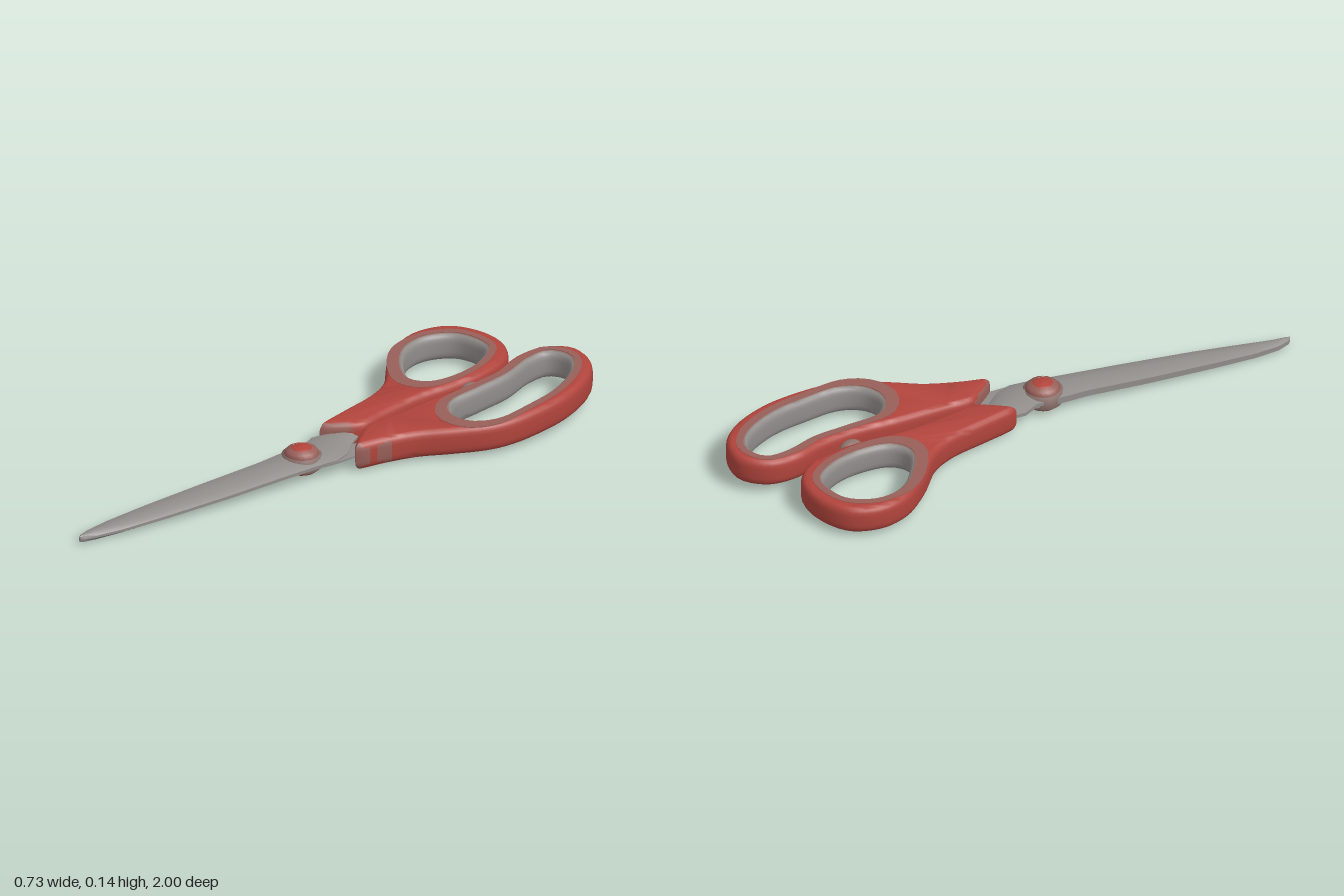
import * as THREE from 'three';
import { toCreasedNormals, mergeVertices } from 'three/addons/utils/BufferGeometryUtils.js';

function material(name, color) {
  const m = new THREE.MeshStandardMaterial({ color });
  m.name = name;
  return m;
}
const red = material('red plastic', 0xb0443c);
const faded = material('faded red', 0x985f58);
const greyed = material('greyed red', 0x8f7670);
const steel = material('grey steel', 0x908c8a);

function mesh(name, geometry, mat) {
  const m = new THREE.Mesh(geometry, mat);
  m.name = name;
  return m;
}

// Smooth closed counter-clockwise outline through [x, z] points, as shape coordinates (x, -z)
function outline(points, count) {
  const curve = new THREE.CatmullRomCurve3(
    points.map(([x, z]) => new THREE.Vector3(x, -z, 0)), true, 'centripetal');
  const list = curve.getSpacedPoints(count).slice(0, -1).map((p) => new THREE.Vector2(p.x, p.y));
  return THREE.ShapeUtils.isClockWise(list) ? list.reverse() : list;
}

// Counter-clockwise outline grown outward, with extra growth toward the front
function grow(points, distance, front) {
  return points.map((p, i) => {
    const n = points.length;
    const along = points[(i + 1) % n].clone().sub(points[(i + n - 1) % n]).normalize();
    const d = distance + front * Math.max(0, along.x);
    return new THREE.Vector2(p.x + along.y * d, p.y - along.x * d);
  });
}

// Lay an extruded shape flat at a height, rising toward the back
function layFlat(geo, y, tilt) {
  geo.rotateX(-Math.PI / 2);
  const pos = geo.attributes.position;
  for (let i = 0; i < pos.count; i++) pos.setY(i, pos.getY(i) + y - pos.getZ(i) * tilt);
  return geo;
}

// Rounded handle with a finger hole: red grip, grey hole wall, dull upper rim and front tip
function handle(name, outer, inner, bottom, height, tilt) {
  const hole = outline(inner, 56);
  const shape = new THREE.Shape(outline(outer, 84));
  shape.holes.push(new THREE.Path(hole));
  const round = 0.03;
  const inset = 0.02;
  const body = new THREE.ExtrudeGeometry(shape, {
    depth: height - 2 * round, steps: 1, bevelThickness: round,
    bevelSize: inset, bevelOffset: -inset, bevelSegments: 4,
  });
  const geo = toCreasedNormals(layFlat(body, bottom + round, tilt), 0.8);

  // Sort triangles by slope and by distance from the hole edge
  const parts = [['grip', red], ['holeLiner', steel], ['holeRim', greyed], ['frontTip', faded]]
    .map(([label, mat]) => ({ label, mat, p: [], n: [] }));
  const P = geo.attributes.position.array;
  const N = geo.attributes.normal.array;
  const tri = new THREE.Triangle();
  const normal = new THREE.Vector3();
  const mid = new THREE.Vector3();
  for (let i = 0; i < P.length; i += 9) {
    [tri.a, tri.b, tri.c].forEach((v, k) => v.fromArray(P, i + 3 * k));
    tri.getNormal(normal);
    tri.getMidpoint(mid);
    const near = Math.abs(normal.y) < 0.985
      && hole.some((h) => Math.hypot(h.x - mid.x, -h.y - mid.z) < 0.026);
    let part = parts[0];
    if (near && normal.y < 0.75 && normal.y > -0.9) part = parts[1];
    else if (near && normal.y > 0) part = parts[2];
    else if (mid.z > -0.12 && normal.z > 0.4) part = parts[3];
    part.p.push(...P.slice(i, i + 9));
    part.n.push(...N.slice(i, i + 9));
  }
  const group = new THREE.Group();
  group.name = name;
  for (const part of parts) {
    const g = new THREE.BufferGeometry();
    g.setAttribute('position', new THREE.Float32BufferAttribute(part.p, 3));
    g.setAttribute('normal', new THREE.Float32BufferAttribute(part.n, 3));
    group.add(mesh(part.label, g, part.mat));
  }

  // Thin worn band on the upper face around the hole
  const band = new THREE.Shape(grow(hole, 0.042, 0.025));
  band.holes.push(new THREE.Path(grow(hole, inset - 0.002, 0)));
  const plate = new THREE.ExtrudeGeometry(band, { depth: 0.003, bevelEnabled: false });
  group.add(mesh('wornBand', layFlat(plate, bottom + height - 0.0015, tilt), faded));
  return group;
}

// Half-lens blade lofted along z; stations are [z, left x, right x, bottom y, top y]
function blade(name, stations, upper) {
  const across = [0, 0.2, 0.5, 0.8, 1];
  const bulge = [0.5, 0.85, 1, 0.8, 0.25];
  const verts = [];
  const index = [];
  for (const [z, xl, xr, yb, yt] of stations) {
    const mid = (yb + yt) / 2;
    const half = (yt - yb) / 2;
    const top = across.map((t, k) => [xl + (xr - xl) * t, mid + half * (upper ? bulge[k] : 0.04), z]);
    const low = across.map((t, k) => [xl + (xr - xl) * t, mid - half * (upper ? 0.04 : bulge[k]), z]);
    verts.push(...top.flat(), ...low.reverse().flat());
  }
  const n = 10;
  const last = (stations.length - 1) * n;
  for (let s = 0; s < last; s += n) {
    for (let k = 0; k < n; k++) {
      const a = s + k;
      const b = s + (k + 1) % n;
      index.push(a, a + n, b, b, a + n, b + n);
    }
  }
  for (let k = 1; k < n - 1; k++) {
    index.push(0, k, k + 1, last, last + k + 1, last + k);
  }
  const g = new THREE.BufferGeometry();
  g.setAttribute('position', new THREE.Float32BufferAttribute(verts, 3));
  g.setIndex(index);
  return mesh(name, toCreasedNormals(mergeVertices(g), 0.6), steel);
}

export function createModel() {
  const model = new THREE.Group();
  model.name = 'scissors';

  // Small thumb handle
  model.add(handle('thumbHandle',
    [[-0.155, -0.045], [-0.163, -0.06], [-0.168, -0.18], [-0.172, -0.32], [-0.20, -0.42],
      [-0.295, -0.55], [-0.355, -0.67], [-0.358, -0.78], [-0.30, -0.88], [-0.18, -0.92],
      [-0.07, -0.90], [-0.002, -0.83], [0.018, -0.68], [0, -0.56], [-0.03, -0.43],
      [-0.045, -0.26], [-0.05, -0.15], [-0.075, -0.115]],
    [[-0.145, -0.505], [-0.235, -0.57], [-0.292, -0.66], [-0.292, -0.75], [-0.235, -0.825],
      [-0.165, -0.84], [-0.10, -0.825], [-0.058, -0.735], [-0.055, -0.63], [-0.088, -0.53]],
    0.008, 0.098, 0.01));

  // Long finger handle
  model.add(handle('fingerHandle',
    [[0.035, -0.01], [0.02, -0.025], [-0.02, -0.10], [-0.035, -0.14], [-0.02, -0.23],
      [0.015, -0.44], [0.045, -0.58], [0.05, -0.71], [0.037, -0.84], [0.065, -0.94],
      [0.15, -1.0], [0.25, -0.972], [0.315, -0.895], [0.36, -0.735], [0.352, -0.55],
      [0.33, -0.455], [0.295, -0.385], [0.215, -0.285], [0.145, -0.205], [0.085, -0.10],
      [0.048, -0.02]],
    [[0.097, -0.445], [0.15, -0.39], [0.22, -0.395], [0.272, -0.455], [0.288, -0.60],
      [0.285, -0.735], [0.24, -0.87], [0.18, -0.925], [0.115, -0.91], [0.10, -0.84],
      [0.115, -0.71], [0.104, -0.575]],
    0.005, 0.1, 0.032));

  // Stop where the handles meet
  const stop = mesh('handleStop', new THREE.SphereGeometry(1, 14, 10), greyed);
  stop.scale.set(0.035, 0.035, 0.045);
  stop.position.set(0.028, 0.068, -0.61);
  model.add(stop);

  // Closed blades, each with a tang running into its own handle
  const length = [
    [0.11, -0.158, -0.01, 0.03, 0.078], [0.24, -0.18, -0.05, 0.026, 0.072],
    [0.455, -0.235, -0.113, 0.016, 0.06], [0.69, -0.29, -0.188, 0.007, 0.048],
    [0.85, -0.323, -0.245, 0.002, 0.038], [0.94, -0.332, -0.285, 0, 0.034],
    [0.985, -0.327, -0.302, 0.004, 0.032], [1.0, -0.318, -0.312, 0.008, 0.03],
  ];
  model.add(blade('upperBlade', [
    [-0.16, -0.14, -0.07, 0.03, 0.075], [-0.08, -0.14, -0.04, 0.03, 0.075],
    [-0.01, -0.16, 0.0, 0.03, 0.077], [0.05, -0.145, 0.008, 0.03, 0.078], ...length], true));
  model.add(blade('lowerBlade', [
    [-0.14, -0.02, 0.03, 0.03, 0.078], [-0.08, -0.04, 0.03, 0.03, 0.078],
    [-0.02, -0.09, 0.025, 0.03, 0.078], [0.05, -0.135, 0.01, 0.03, 0.078], ...length], false));

  // Pivot screw: washer, dull flange, and a red head above and below
  const lathe = (points) => new THREE.LatheGeometry(points.map(([r, y]) => new THREE.Vector2(r, y)), 20);
  const pivot = new THREE.Group();
  pivot.name = 'pivotScrew';
  pivot.position.set(-0.095, 0, 0.115);
  pivot.add(
    mesh('washer', lathe([[0.05, 0.026], [0.068, 0.032], [0.068, 0.076], [0.05, 0.082]]), greyed),
    mesh('flange', lathe([[0.035, 0.01], [0.052, 0.018], [0.06, 0.03], [0.06, 0.079],
      [0.052, 0.092], [0.035, 0.1]]), faded),
    mesh('upperHead', lathe([[0.036, 0.098], [0.028, 0.104], [0, 0.107]]), red),
    mesh('lowerHead', lathe([[0, 0.003], [0.028, 0.006], [0.036, 0.012]]), red));
  model.add(pivot);

  return model;
}
